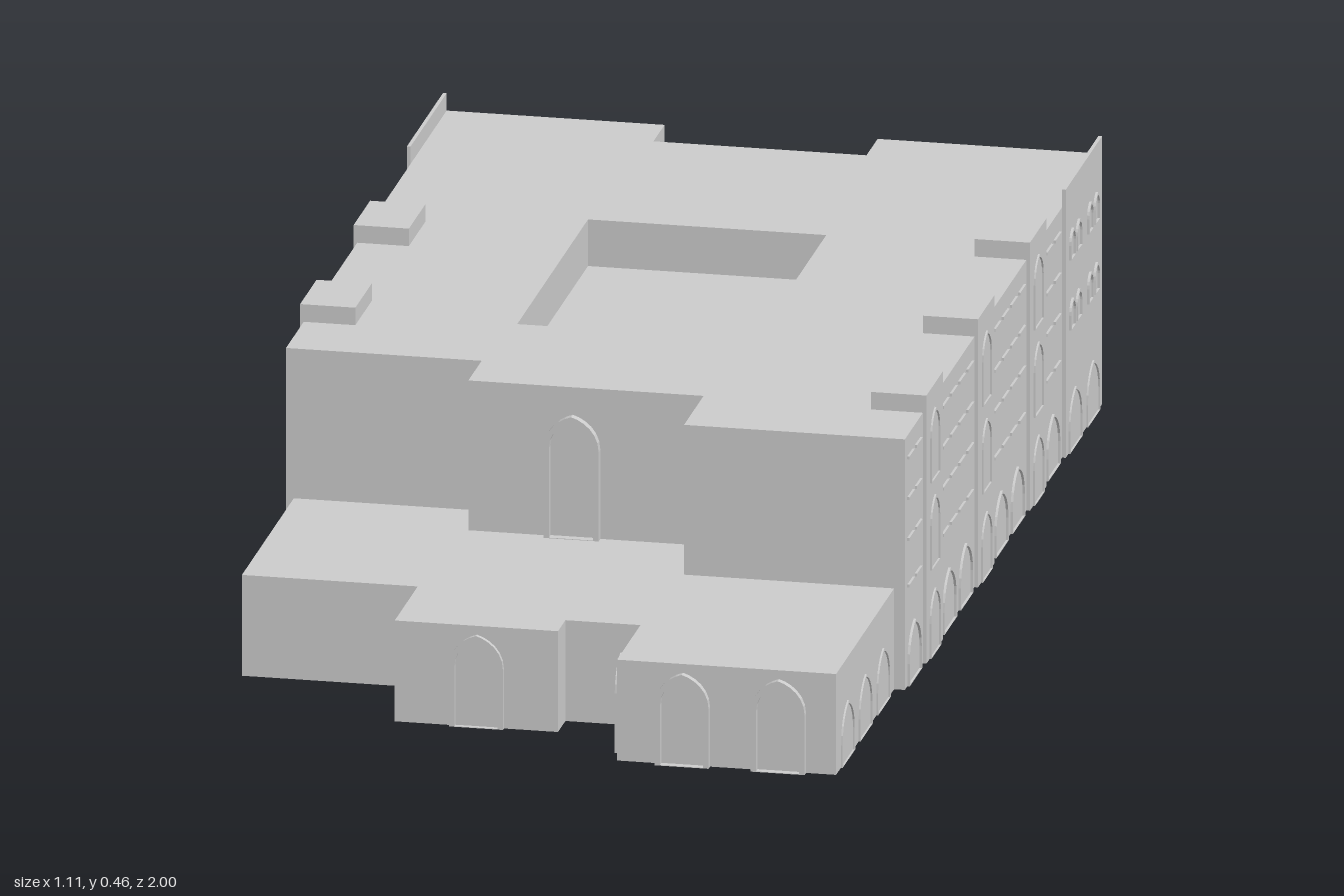
import * as THREE from 'three';
import { mergeGeometries } from 'three/addons/utils/BufferGeometryUtils.js';

const stone = new THREE.MeshStandardMaterial({ color: 0xcccccc, side: THREE.DoubleSide });
stone.name = 'stone';

const HALL = 0.43, ANNEX = 0.173, TOWER = 0.46, WALL_X = 0.543;

export function createModel() {
  const model = new THREE.Group();
  const add = (name, geometry, parent = model) => {
    const mesh = new THREE.Mesh(geometry, stone);
    mesh.name = name;
    parent.add(mesh);
    return mesh;
  };
  const box = (name, x0, x1, y0, y1, z0, z1) =>
    add(name, new THREE.BoxGeometry(x1 - x0, y1 - y0, z1 - z0)
      .translate((x0 + x1) / 2, (y0 + y1) / 2, (z0 + z1) / 2));

  // Flat roof from [x, z] corners
  const outline = (pts, Type = THREE.Shape) => new Type(pts.map(([x, z]) => new THREE.Vector2(x, -z)));
  const roof = (name, pts, y, hole) => {
    const shape = outline(pts);
    if (hole) shape.holes.push(outline(hole, THREE.Path));
    add(name, new THREE.ShapeGeometry(shape).rotateX(-Math.PI / 2).translate(0, y, 0));
  };
  // Upright walls along a run of [x, z] corners
  const walls = (name, pts, y0, y1) => {
    const parts = [];
    for (let i = 0; i < pts.length - 1; i++) {
      const [ax, az] = pts[i], [bx, bz] = pts[i + 1];
      parts.push(new THREE.PlaneGeometry(Math.hypot(bx - ax, bz - az), y1 - y0)
        .rotateY(-Math.atan2(bz - az, bx - ax))
        .translate((ax + bx) / 2, (y0 + y1) / 2, (az + bz) / 2));
    }
    add(name, mergeGeometries(parts));
  };

  // Main hall, open underneath, with a sunken courtyard
  const front = [[-WALL_X, 0.27], [-0.217, 0.27], [-0.217, 0.375], [0.175, 0.375], [0.175, 0.53], [WALL_X, 0.53]];
  const hall = [...front, [WALL_X, -1], [0.175, -1], [0.175, -0.912], [-0.18, -0.912], [-0.18, -1], [-WALL_X, -1]];
  const court = [[-0.2, 0.07], [0.197, 0.07], [0.197, -0.49], [-0.2, -0.49]];
  roof('hallRoof', hall, HALL, court);
  walls('hallWalls', [...hall, hall[0]], 0, HALL);
  roof('courtyardFloor', court, 0.35);
  walls('courtyardWalls', [...court, court[0]].reverse(), 0.35, HALL);

  // Low stepped annex at the front
  const steps = [[-0.53, 0.27], [-0.53, 0.68], [-0.237, 0.68], [-0.237, 0.862], [0.035, 0.862],
    [0.035, 0.803], [0.16, 0.803], [0.16, 0.988], [0.525, 0.988], [0.525, 0.53]];
  roof('annexRoof', [...steps, [0.175, 0.53], [0.175, 0.375], [-0.217, 0.375], [-0.217, 0.27]], ANNEX);
  walls('annexWalls', steps, 0, ANNEX);

  // Stair towers and end parapets on both long sides
  const towers = { 1: [0.323, -0.085, -0.495], '-1': [0.065, -0.358] };
  for (const s of [1, -1]) {
    const span = (a, b) => (s > 0 ? [a, b] : [-b, -a]);
    for (const z of towers[s]) box('stairTower', ...span(0.457, 0.549), 0, TOWER, z - 0.065, z + 0.065);
    box('endParapet', ...span(WALL_X, 0.549), 0, TOWER, -1, -0.713);
  }

  // A facade group: local x runs along the wall, local z points out of it
  const facade = (name, x, z, angle) => {
    const group = new THREE.Group();
    group.name = name;
    group.position.set(x, 0, z);
    group.rotation.y = angle;
    model.add(group);
    return group;
  };
  const archPath = (Type, w, y0, y1) => {
    const r = w / 2, spring = Math.max(y0, y1 - w * 0.62), p = new Type();
    p.moveTo(-r, y0);
    p.lineTo(r, y0);
    p.lineTo(r, spring);
    p.bezierCurveTo(r, spring + r * 0.7, r * 0.45, y1 - r * 0.12, 0, y1);
    p.bezierCurveTo(-r * 0.45, y1 - r * 0.12, -r, spring + r * 0.7, -r, spring);
    p.closePath();
    return p;
  };
  // Arched moulding around an opening
  const arch = (wall, u, w, y0, y1, depth = 0.01, rim = 0.009) => {
    const shape = archPath(THREE.Shape, w, y0, y1);
    shape.holes.push(archPath(THREE.Path, w - 2 * rim, y0 + 0.001, y1 - rim));
    add('archFrame', new THREE.ExtrudeGeometry(shape, { depth, bevelEnabled: false, curveSegments: 6 })
      .translate(u, 0, 0), wall);
  };
  const strip = (wall, name, u, w, y0, y1, d = 0.004) =>
    add(name, new THREE.BoxGeometry(w, y1 - y0, d).translate(u, (y0 + y1) / 2, d / 2), wall);

  // Front arches and the annex side door
  arch(facade('hallFront', 0, 0.375, 0), -0.043, 0.092, ANNEX, 0.383, 0.014);
  arch(facade('annexCentre', 0, 0.862, 0), -0.1, 0.09, 0, 0.158, 0.008);
  const wing = facade('annexWing', 0, 0.988, 0);
  for (const u of [0.27, 0.43]) arch(wing, u, 0.09, 0, 0.158, 0.012);
  arch(facade('annexSideDoor', 0.16, 0, -Math.PI / 2), 0.905, 0.09, 0, 0.158, 0.012);

  // Long side facades: bays between towers, tower windows, end windows
  const bays = {
    1: [[-0.7, -0.57], [-0.42, -0.16], [-0.01, 0.25], [0.4, 0.52]],
    '-1': [[-0.7, -0.43], [-0.285, -0.01], [0.14, 0.26]],
  };
  for (const s of [1, -1]) {
    const angle = s * Math.PI / 2;
    const side = facade('longSide', s * WALL_X, 0, angle);
    const outer = facade('towerSide', s * 0.549, 0, angle);
    for (const [a, b] of bays[s]) {
      const n = Math.max(2, Math.round((b - a) / 0.065)), step = (b - a) / n;
      for (let i = 0; i < n; i++) {
        const u = -s * (a + (i + 0.5) * step);
        for (const y of [0.17, 0.25, 0.32, 0.39]) strip(side, 'sill', u, step * 0.72, y, y + 0.005);
      }
      const doors = Math.max(1, Math.round((b - a) / 0.13));
      for (let i = 0; i < doors; i++)
        arch(side, -s * (a + (i + 0.5) * (b - a) / doors), 0.1, 0, 0.1, 0.004, 0.005);
    }
    for (const z of towers[s]) {
      arch(outer, -s * z, 0.07, 0.3, 0.42, 0.003, 0.005);
      arch(outer, -s * z, 0.07, 0.15, 0.27, 0.003, 0.005);
      arch(outer, -s * z, 0.08, 0, 0.11, 0.003, 0.005);
    }
    for (const z of [-0.95, -0.9, -0.81, -0.76])
      for (const y of [0.21, 0.33]) arch(outer, -s * z, 0.04, y, y + 0.05, 0.004, 0.005);
    for (const z of [-0.925, -0.785]) arch(outer, -s * z, 0.1, 0, 0.1, 0.003, 0.005);
    // Low arches along the annex flank
    const flank = facade('annexFlank', s > 0 ? 0.525 : -0.53, 0, angle);
    for (const z of s > 0 ? [0.62, 0.76, 0.9] : [0.36, 0.48, 0.6])
      arch(flank, -s * z, 0.1, 0, 0.1, 0.003, 0.005);
  }

  // Back facade: tall window reveals on the wings, arched entrance in the recess
  const wings = facade('backWings', 0, -1, Math.PI);
  for (const s of [1, -1]) {
    for (const u of [0.27, 0.45]) {
      for (const e of [-0.03, 0.03]) strip(wings, 'windowJamb', s * u + e, 0.005, 0.17, 0.36, 0.002);
      strip(wings, 'windowHead', s * u, 0.065, 0.36, 0.365, 0.002);
    }
    strip(wings, 'lowSlit', s * 0.36, 0.005, 0.03, 0.3, 0.002);
  }
  const entry = facade('backEntrance', 0, -0.912, Math.PI);
  arch(entry, 0, 0.11, 0.05, 0.36, 0.006, 0.008);
  for (const u of [-0.12, 0.12]) {
    arch(entry, u, 0.05, 0.29, 0.34, 0.004, 0.006);
    for (const e of [-0.03, 0, 0.03]) strip(entry, 'sideWindowBar', u + e, 0.006, 0.06, 0.2);
    strip(entry, 'sideWindowHead', u, 0.07, 0.2, 0.208);
  }
  return model;
}
